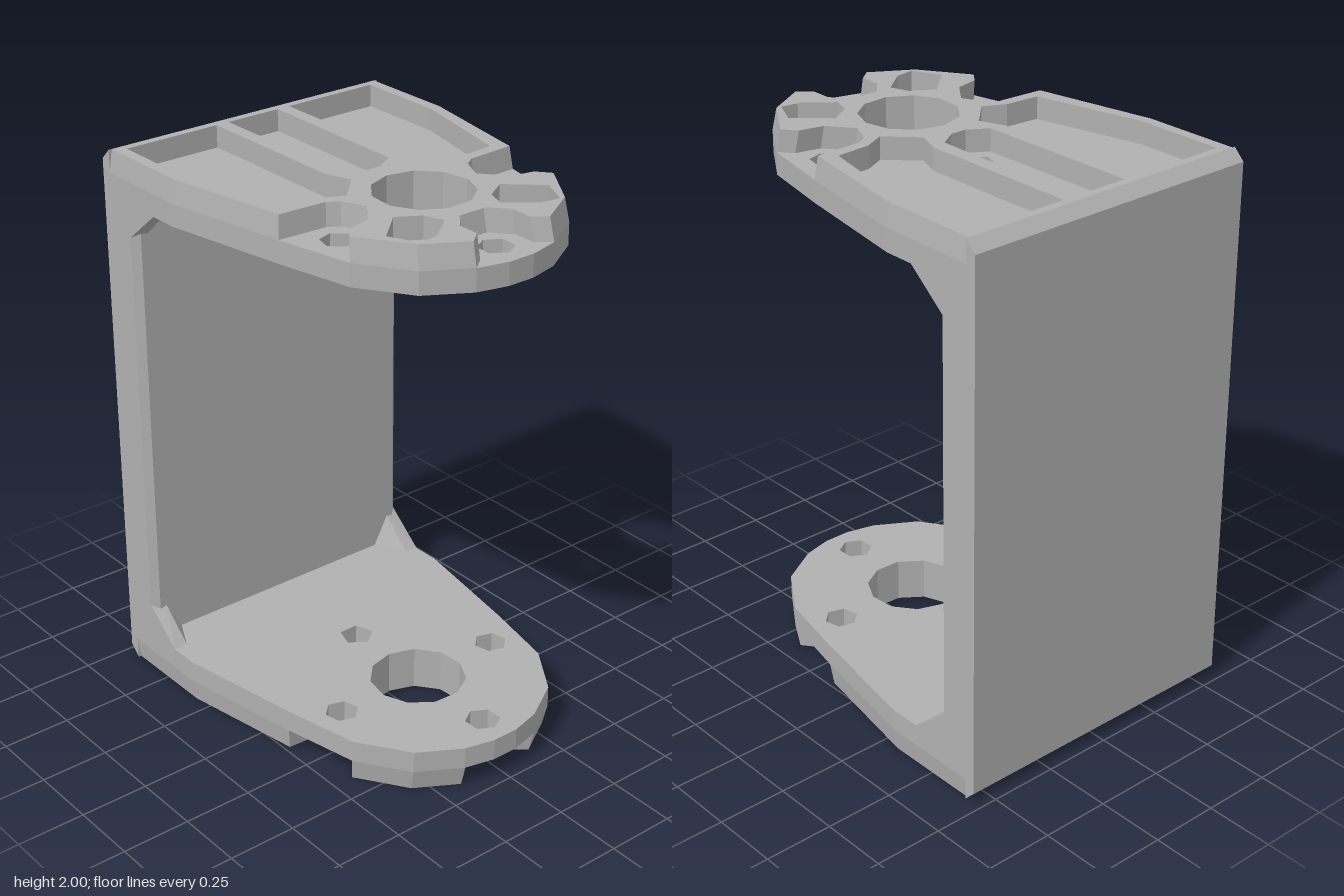
import * as THREE from 'three';
import { ConvexGeometry } from 'three/addons/geometries/ConvexGeometry.js';

const grey = new THREE.MeshStandardMaterial({ color: 0xb0b0b0, flatShading: true });
grey.name = 'light grey';

const ARM = 0.16;   // arm thickness
const FLOOR = 0.08; // pocket depth

const vecs = (pts) => pts.map(([x, z]) => new THREE.Vector2(x, z));
const flip = (pts) => pts.map(([x, z]) => [-x, z]).reverse();
const mirrored = (half) => [...half, ...flip(half)];

function ring(cx, cz, r, n, turn = 0) {
  const pts = [];
  for (let i = 0; i < n; i++) {
    const a = turn + (i / n) * Math.PI * 2;
    pts.push([cx + r * Math.cos(a), cz + r * Math.sin(a)]);
  }
  return pts;
}

// Plan shape in x and z, extruded from y = top downward
function slab(outline, holes, top, height) {
  const shape = new THREE.Shape(vecs(outline));
  shape.holes = holes.map((h) => new THREE.Path(vecs(h)));
  const geo = new THREE.ExtrudeGeometry(shape, { depth: height, bevelEnabled: false });
  return geo.rotateX(Math.PI / 2).translate(0, top, 0);
}

function mesh(name, geo) {
  const m = new THREE.Mesh(geo, grey);
  m.name = name;
  return m;
}

const bigHole = ring(0, 0.255, 0.172, 11, 0.2);

// Full floor of an arm, with the bearing hole and screw holes
const floorHalf = [
  [0.572, -0.68], [0.572, -0.32], [0.49, 0.14], [0.43, 0.42], [0.31, 0.6], [0.16, 0.69], [0.05, 0.717],
];
const screwHoles = [
  ring(0.345, 0.255, 0.06, 6, 0.3), ring(-0.345, 0.255, 0.06, 6, 0.3),
  ring(0, -0.09, 0.062, 5, 0.3), ring(0, 0.6, 0.062, 6, 0.5),
];

// Raised ribs: the outline is cut in at three screw notches
const ribHalf = [
  [0.572, -0.68], [0.572, -0.32], [0.49, 0.14], [0.31, 0.15], [0.27, 0.175], [0.23, 0.26],
  [0.30, 0.35], [0.39, 0.37], [0.43, 0.42], [0.31, 0.6], [0.16, 0.69],
  [0.11, 0.65], [0.11, 0.57], [0.05, 0.5],
];
const sidePocket = [
  [0.52, -0.65], [0.52, -0.32], [0.43, 0.09], [0.30, 0.10], [0.22, 0.14],
  [0.12, 0.04], [0.155, -0.05], [0.155, -0.65],
];
const smallPocket = [
  [0.22, 0.37], [0.335, 0.475], [0.285, 0.58], [0.22, 0.575], [0.115, 0.49], [0.14, 0.42],
];
const channel = mirrored([[0.105, -0.65], [0.1, -0.04], [0.03, 0.005]]);

function ribGeometry() {
  const outline = mirrored(ribHalf);
  const holes = [bigHole, channel, sidePocket, flip(sidePocket), smallPocket, flip(smallPocket)];
  const geo = slab(outline, holes, FLOOR, FLOOR);
  // Draft: draw the outer rim in slightly at the outside face
  const p = geo.attributes.position;
  for (let i = 0; i < p.count; i++) {
    const x = p.getX(i), z = p.getZ(i);
    const onRim = outline.some(([a, b]) => Math.abs(a - x) < 1e-4 && Math.abs(b - z) < 1e-4);
    if (p.getY(i) < 1e-4 && onRim) {
      p.setX(i, x * 0.98);
      if (z > -0.6) p.setZ(i, z - (z + 0.3) * 0.02);
    }
  }
  geo.computeVertexNormals();
  return geo;
}

// Corner brace between an arm and the back plate
function gusset(s) {
  return new ConvexGeometry([
    [0.572, ARM, -0.43], [0.52, ARM, -0.43], [0.46, ARM, -0.55], [0.52, 0.27, -0.55],
    [0.572, 0.28, -0.575], [0.572, ARM, -0.575],
  ].map(([x, y, z]) => new THREE.Vector3(s * x, y, z)));
}

// One arm, modelled as the lower one with its ribs facing down
function makeArm(name) {
  const arm = new THREE.Group();
  arm.name = name;
  arm.add(mesh('armFloor', slab(mirrored(floorHalf), [bigHole, ...screwHoles], ARM, ARM - FLOOR)));
  arm.add(mesh('armRibs', ribGeometry()));
  arm.add(mesh('leftGusset', gusset(1)), mesh('rightGusset', gusset(-1)));
  return arm;
}

export function createModel() {
  const model = new THREE.Group();
  model.name = 'bracket';

  // Back plate skin with chamfered top and bottom edges
  const skin = new THREE.Shape(vecs([
    [0.72, 0.04], [0.68, 0], [0.68, 2], [0.72, 1.96],
  ]));
  const skinGeo = new THREE.ExtrudeGeometry(skin, { depth: 1.144, bevelEnabled: false });
  skinGeo.rotateY(Math.PI / 2).translate(-0.572, 0, 0);
  model.add(mesh('backSkin', skinGeo));

  // Inner part of the back plate with chamfered side edges
  const core = mirrored([[0.572, -0.68], [0.572, -0.575], [0.547, -0.55]]);
  model.add(mesh('backPlate', slab(core, [], 2 - ARM, 2 - 2 * ARM)));

  // Two matching arms, the upper one turned over
  const upper = makeArm('upperArm');
  upper.rotation.z = Math.PI;
  upper.position.y = 2;
  model.add(makeArm('lowerArm'), upper);
  return model;
}
